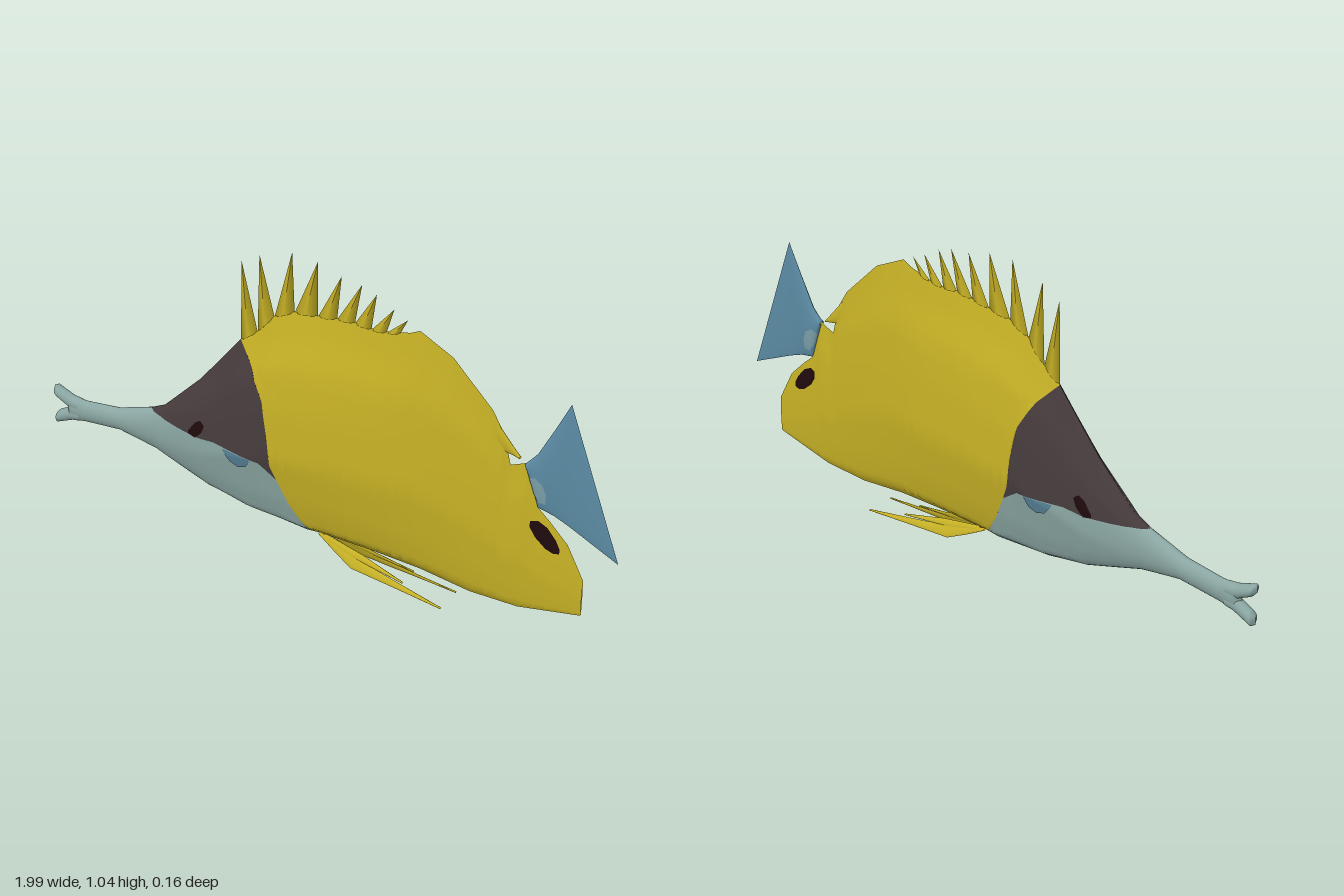
import * as THREE from 'three';

const mat = (name, color) => Object.assign(new THREE.MeshStandardMaterial({ color, side: THREE.DoubleSide }), { name });

// Piecewise-linear lookup in a list of [x, value] points
function at(pts, x) {
  if (x <= pts[0][0]) return pts[0][1];
  for (let i = 1; i < pts.length; i++) {
    const [x0, y0] = pts[i - 1], [x1, y1] = pts[i];
    if (x <= x1) return y0 + (y1 - y0) * (x - x0) / (x1 - x0);
  }
  return pts[pts.length - 1][1];
}

// Seams between the colour zones
const noseTop = [[-0.95, 0.29], [-0.88, 0.285], [-0.75, 0.3], [-0.62, 0.345]];
const crown = [[-0.62, 0.345], [-0.57, 0.37], [-0.43, 0.51], [-0.28, 0.695]];
const cheekLine = [[-0.62, 0.345], [-0.5, 0.335], [-0.42, 0.33], [-0.35, 0.338], [-0.26, 0.33], [-0.18, 0.325], [-0.12, 0.28]];
const gillUpper = [[-0.28, 0.695], [-0.22, 0.63], [-0.17, 0.54], [-0.15, 0.43], [-0.14, 0.33], [-0.12, 0.28]];
const gillLower = [[-0.12, 0.28], [-0.08, 0.19], [-0.03, 0.11], [0, 0.09]];
const throat = [[-0.95, 0.195], [-0.88, 0.21], [-0.74, 0.225], [-0.6, 0.2], [-0.4, 0.13], [-0.25, 0.1], [-0.05, 0.085], [0, 0.09]];
const belly = [[0, 0.09], [0.2, 0.09], [0.35, 0.085], [0.52, 0.065], [0.68, 0.07], [0.885, 0.115]];
const valleys = [[-0.28, 0.695], [-0.22, 0.74], [-0.16, 0.81], [-0.09, 0.845], [-0.01, 0.855], [0.055, 0.865],
  [0.115, 0.87], [0.17, 0.865], [0.22, 0.87], [0.265, 0.88], [0.3, 0.89]];
const rearTop = [[0.33, 0.905], [0.44, 0.85], [0.57, 0.72], [0.61, 0.655], [0.635, 0.555], [0.69, 0.58],
  [0.71, 0.5], [0.73, 0.44], [0.77, 0.405], [0.83, 0.345], [0.885, 0.24]];
const backLine = [...valleys, ...rearTop];

// Whole outline, half width along the body, and the section from belly to back
const TOP = [...noseTop, ...crown.slice(1), ...backLine.slice(1)];
const BOTTOM = [...throat, ...belly.slice(1)];
const WIDTH = [[-0.95, 0], [-0.935, 0.02], [-0.8, 0.023], [-0.6, 0.032], [-0.4, 0.062], [-0.2, 0.077], [0, 0.075],
  [0.2, 0.064], [0.4, 0.047], [0.6, 0.026], [0.72, 0.014], [0.885, 0.003]];
const SECTION = [[0, 0], [0.04, 0.45], [0.15, 0.7], [0.36, 1], [0.58, 0.87], [0.76, 0.66], [0.9, 0.25], [1, 0.02]];
const oval = v => Math.sqrt(Math.max(0, 1 - (2 * v - 1) ** 2));

function bodyZ(x, y) {
  const b = at(BOTTOM, x), t = at(TOP, x);
  const v = THREE.MathUtils.clamp((y - b) / (t - b), 0, 1);
  const blend = THREE.MathUtils.smoothstep(x, -0.65, -0.25);
  return at(WIDTH, x) * THREE.MathUtils.lerp(oval(v), at(SECTION, v), blend);
}

// Two mirrored skins between a lower and an upper line; zOf gives the half width, shift bends it sideways
function skin(name, material, lo, hi, zOf, lift = 0, shift = () => 0, rows = 14) {
  const x0 = lo[0][0], x1 = lo[lo.length - 1][0];
  let xs = [...lo, ...hi, ...WIDTH].map(p => p[0]);
  for (let i = 0; i <= 30; i++) xs.push(x0 + (x1 - x0) * i / 30);
  xs = xs.filter(x => x >= x0 && x <= x1).sort((a, b) => a - b).filter((x, i, a) => !i || x - a[i - 1] > 1e-4);
  const pos = [], index = [], n = rows + 1;
  for (const side of [1, -1]) {
    const base = pos.length / 3;
    xs.forEach((x, i) => {
      const l = at(lo, x), h = at(hi, x);
      for (let j = 0; j <= rows; j++) {
        const v = (1 - Math.cos(Math.PI * j / rows)) / 2, y = l + (h - l) * v;
        pos.push(x, y, side * (zOf(x, y, v) + lift) + shift(y));
        if (i === xs.length - 1 || j === rows) continue;
        const a = base + i * n + j, b = a + n, c = b + 1, d = a + 1;
        index.push(...(side > 0 ? [a, b, c, a, c, d] : [a, c, b, a, d, c]));
      }
    });
  }
  const g = new THREE.BufferGeometry();
  g.setAttribute('position', new THREE.Float32BufferAttribute(pos, 3));
  g.setIndex(index);
  g.computeVertexNormals();
  const mesh = new THREE.Mesh(g, material);
  mesh.name = name;
  return mesh;
}

export function createModel() {
  const yellow = mat('yellow', 0xc6b125), blue = mat('tail blue', 0x5b8ba4), dark = mat('dark brown', 0x463b3c);
  const grey = mat('silver grey', 0x8aa6a2), black = mat('eye black', 0x1e0a0c);
  const pale = mat('pale blue', 0x7b9fa8), patch = mat('cheek blue', 0x557f93);
  const fish = new THREE.Group();
  fish.name = 'fish';

  // Body and head
  fish.add(
    skin('body', yellow, [...gillUpper, ...gillLower.slice(1), ...belly.slice(1)], backLine, bodyZ, 0, undefined, 24),
    skin('crown', dark, cheekLine, [...crown, ...gillUpper.slice(1)], bodyZ),
    skin('lowerHead', grey, throat, [...noseTop, ...cheekLine.slice(1), ...gillLower.slice(1)], bodyZ)
  );

  // Jaws, parted at the tip of the snout
  const jawW = [[-1, 0], [-0.992, 0.02], [-0.9, 0.02]];
  const jawZ = (x, y, v) => at(jawW, x) * oval(v);
  fish.add(
    skin('upperJaw', grey, [[-1, 0.288], [-0.985, 0.27], [-0.94, 0.245], [-0.9, 0.24]],
      [[-1, 0.308], [-0.99, 0.312], [-0.93, 0.29], [-0.9, 0.286]], jawZ),
    skin('lowerJaw', grey, [[-1, 0.18], [-0.99, 0.174], [-0.93, 0.2], [-0.9, 0.206]],
      [[-1, 0.203], [-0.985, 0.22], [-0.94, 0.245], [-0.9, 0.25]], jawZ)
  );

  // Eyes and painted spots
  fish.add(
    skin('eyes', black, [[-0.447, 0.335], [-0.42, 0.33], [-0.395, 0.355], [-0.385, 0.378]],
      [[-0.447, 0.345], [-0.42, 0.383], [-0.4, 0.396], [-0.385, 0.384]], bodyZ, 0.003),
    skin('cheekSpots', patch, [[-0.31, 0.327], [-0.285, 0.295], [-0.255, 0.283], [-0.225, 0.295], [-0.21, 0.322]],
      [[-0.31, 0.333], [-0.26, 0.33], [-0.21, 0.328]], bodyZ, 0.003),
    skin('falseEyes', black, [[0.712, 0.375], [0.73, 0.345], [0.765, 0.315], [0.79, 0.306], [0.808, 0.31]],
      [[0.712, 0.395], [0.735, 0.4], [0.765, 0.385], [0.795, 0.35], [0.808, 0.325]], bodyZ, 0.003)
  );

  // Tail fin with a pale root
  const tailW = [[0.68, 0.01], [0.74, 0.013], [0.82, 0.006], [0.99, 0.001]];
  const tailLow = [[0.685, 0.57], [0.71, 0.5], [0.73, 0.44], [0.78, 0.43], [0.83, 0.41], [0.99, 0.335]];
  const tailTop = [[0.685, 0.578], [0.72, 0.62], [0.77, 0.72], [0.815, 0.815], [0.99, 0.335]];
  const tailZ = (x, y) => {
    const l = at(tailLow, x), h = at(tailTop, x);
    return at(tailW, x) * oval((y - l) / Math.max(1e-4, h - l));
  };
  fish.add(
    skin('tailFin', blue, tailLow, tailTop, tailZ),
    skin('tailRoot', pale, [[0.7, 0.53], [0.712, 0.495], [0.735, 0.465], [0.757, 0.465]],
      [[0.7, 0.54], [0.72, 0.545], [0.745, 0.53], [0.757, 0.5]], tailZ, 0.002),
    skin('dorsalTip', yellow, [[0.59, 0.6], [0.665, 0.586]], [[0.59, 0.68], [0.665, 0.592]], (x, y, v) => 0.006 * oval(v))
  );

  // Dorsal spines: flattened four-sided cones standing between neighbouring valleys
  const tips = [[-0.273, 0.965], [-0.21, 1.003], [-0.097, 1.04], [-0.01, 1.033], [0.07, 1.008],
    [0.138, 1.0], [0.187, 0.982], [0.245, 0.95], [0.29, 0.928]];
  tips.forEach(([tx, ty], i) => {
    const [lx, ly] = valleys[i], [rx, ry] = valleys[i + 1];
    const mx = (lx + rx) / 2, my = (ly + ry) / 2 - 0.004;
    const g = new THREE.ConeGeometry(1, 1, 4).translate(0, 0.5, 0);
    g.applyMatrix4(new THREE.Matrix4().makeBasis(
      new THREE.Vector3((rx - lx) / 2, (ry - ly) / 2, 0), new THREE.Vector3(tx - mx, ty - my, 0),
      new THREE.Vector3(0, 0, 0.008)).setPosition(mx, my, 0));
    const spine = new THREE.Mesh(g, yellow);
    spine.name = 'dorsalSpine' + (i + 1);
    fish.add(spine);
  });

  // Pelvic fins, splayed outward, each with a long and a short ray
  for (const s of [1, -1]) {
    const splay = y => s * (0.008 + (0.1 - y) * 0.42);
    const finZ = (x, y, v) => 0.004 * oval(v);
    const fin = new THREE.Group();
    fin.name = s > 0 ? 'frontPelvicFin' : 'backPelvicFin';
    fin.add(
      skin('longRay', yellow, [[0, 0.092], [0.06, 0.06], [0.13, 0.027], [0.45, 0.003]],
        [[0, 0.1], [0.12, 0.072], [0.2, 0.05], [0.45, 0.006]], finZ, 0, splay, 6),
      skin('shortRay', yellow, [[0.02, 0.085], [0.12, 0.06], [0.31, 0.036]],
        [[0.02, 0.1], [0.16, 0.076], [0.31, 0.039]], finZ, 0, splay, 6)
    );
    fish.add(fin);
  }
  return fish;
}
